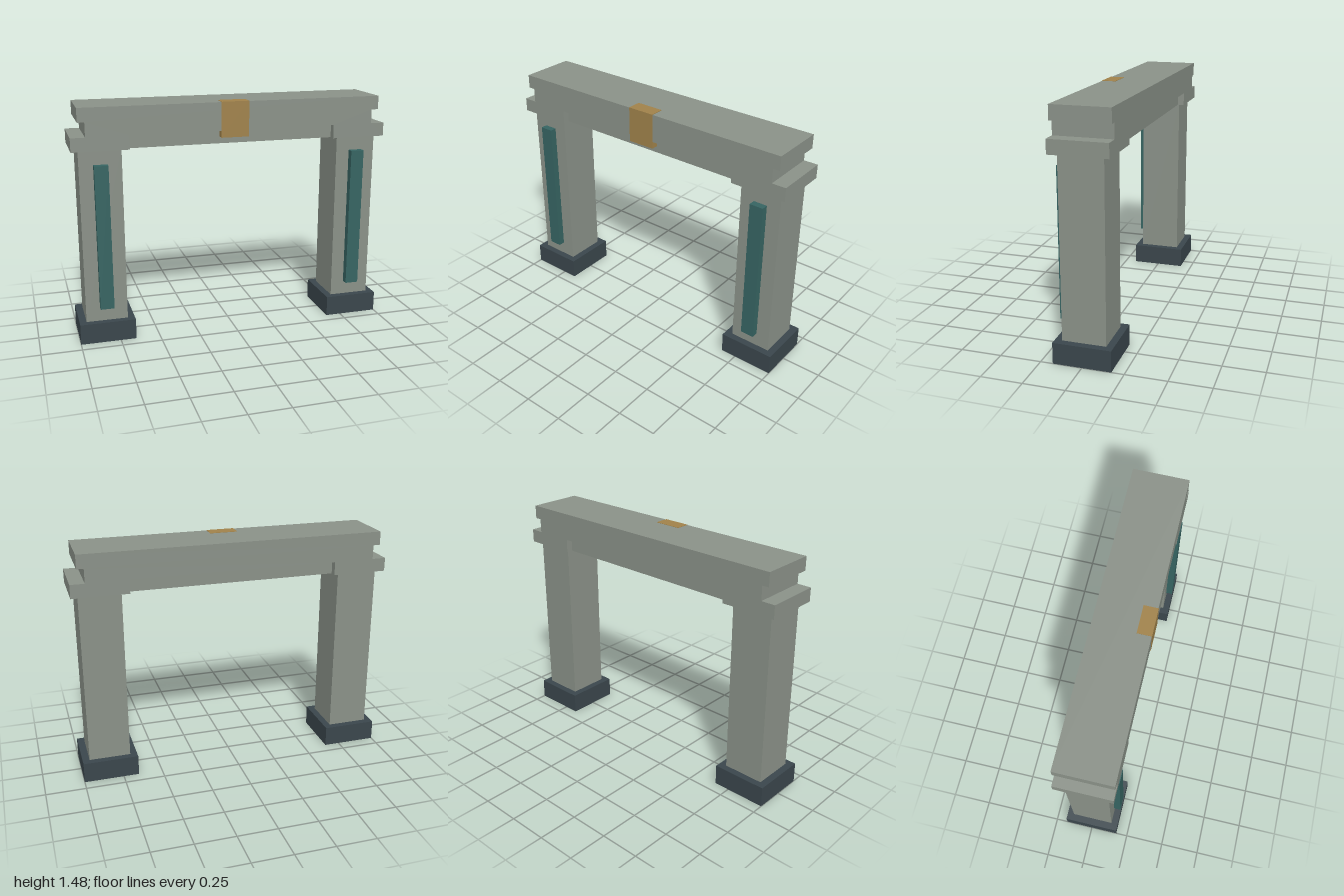
import * as THREE from 'three';

export function createModel() {
  const model = new THREE.Group();
  model.name = 'gateway';

  const paint = (name, color) => {
    const m = new THREE.MeshStandardMaterial({ color });
    m.name = name;
    return m;
  };
  const stone = paint('grey stone', 0x8a9188);
  const slate = paint('dark slate', 0x3a464c);
  const teal = paint('teal', 0x366462);
  const bronze = paint('bronze', 0xa0824a);

  // Box given by its min and max corners
  const box = (name, material, [x0, y0, z0], [x1, y1, z1], parent = model) => {
    const mesh = new THREE.Mesh(new THREE.BoxGeometry(x1 - x0, y1 - y0, z1 - z0), material);
    mesh.position.set((x0 + x1) / 2, (y0 + y1) / 2, (z0 + z1) / 2);
    mesh.name = name;
    parent.add(mesh);
  };

  const D = 0.175; // half depth of bases and lintel
  const d = 0.132; // half depth of pillars

  // Pillars with base and raised front strip, mirrored left and right
  for (const [side, s] of [['left', 1], ['right', -1]]) {
    const leg = new THREE.Group();
    leg.name = side + 'Leg';
    leg.position.x = s * 0.826;
    box('base', slate, [-0.174, 0, -D], [0.174, 0.13, D], leg);
    box('pillar', stone, [-0.13, 0.13, -d], [0.13, 1.22, d], leg);
    box('frontStrip', teal, [-0.043, 0.22, d], [0.043, 1.13, D], leg);
    model.add(leg);
  }

  // Lintel: stepped profile with grooved ends, swept through the depth
  const half = [[0.652, 1.305], [0.652, 1.22], [1, 1.22], [1, 1.305],
    [0.912, 1.305], [0.912, 1.394], [0.955, 1.394], [0.955, 1.48]];
  const outline = [...half, ...half.map(([x, y]) => [-x, y]).reverse()];
  const shape = new THREE.Shape(outline.map(([x, y]) => new THREE.Vector2(x, y)));
  const lintelGeometry = new THREE.ExtrudeGeometry(shape, { depth: 2 * D, bevelEnabled: false });
  lintelGeometry.translate(0, 0, -D);
  const lintel = new THREE.Mesh(lintelGeometry, stone);
  lintel.name = 'lintel';
  model.add(lintel);

  // Recessed beam under the lintel
  box('lowerBeam', stone, [-0.652, 1.22, -d], [0.652, 1.305, d]);

  // Keystone, set nearly flush into the front and top
  box('keystone', bronze, [-0.088, 1.262, 0.088], [0.088, 1.482, D + 0.002]);

  return model;
}
